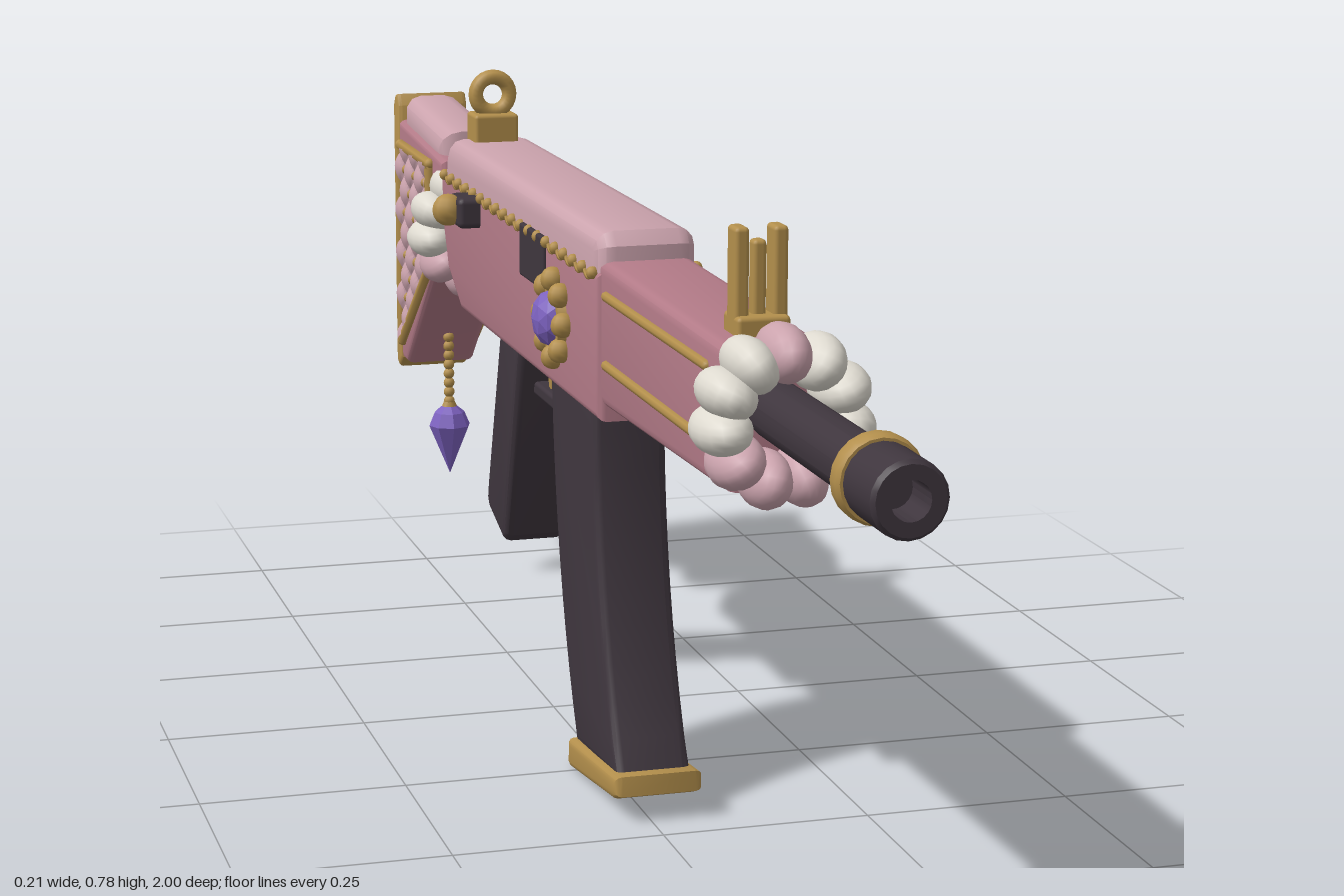
import * as THREE from 'three';
import { toCreasedNormals } from 'three/addons/utils/BufferGeometryUtils.js';
import { RoundedBoxGeometry } from 'three/addons/geometries/RoundedBoxGeometry.js';

const mat = (name, color) => {
  const m = new THREE.MeshStandardMaterial({ color });
  m.name = name;
  return m;
};

export function createModel() {
  const root = new THREE.Group();
  root.name = 'jewelledRifle';
  const body = new THREE.Group();
  body.name = 'body';
  body.position.x = 0.01;
  root.add(body);

  const rose = mat('dustyRose', 0xb27a87);
  const blush = mat('paleBlush', 0xcba3ad);
  const cream = mat('cream', 0xdedad0);
  const dark = mat('charcoalPlum', 0x3f363e);
  const gold = mat('oldGold', 0xb38f4c);
  const violet = mat('violet', 0x7d62c0);
  violet.flatShading = true;

  const add = (name, geo, material, x = 0, y = 0, z = 0) => {
    const m = new THREE.Mesh(geo, material);
    m.name = name;
    m.position.set(x, y, z);
    body.add(m);
    return m;
  };
  const V = (x, y, z) => new THREE.Vector3(x, y, z);
  const box = (name, material, w, h, d, x, y, z, r = 0.005) =>
    add(name, new RoundedBoxGeometry(w, h, d, 2, r), material, x, y, z);
  const ball = (name, material, r, x, y, z) =>
    add(name, new THREE.SphereGeometry(r, 10, 8), material, x, y, z);

  // Side profile in (z, y), extruded across x with rounded edges
  const slab = (name, profile, width, bevel, material) => {
    const shape = Array.isArray(profile)
      ? new THREE.Shape(profile.map(([z, y]) => new THREE.Vector2(z, y))) : profile;
    const depth = width - 2 * bevel;
    const geo = new THREE.ExtrudeGeometry(shape, {
      depth, bevelSize: bevel, bevelThickness: bevel, bevelOffset: -bevel,
      bevelSegments: 3, curveSegments: 10,
    });
    geo.translate(0, 0, -depth / 2);
    geo.rotateY(-Math.PI / 2);
    return add(name, toCreasedNormals(geo, 0.6), material);
  };
  // Turned part along z from (radius, z) points
  const turned = (name, pts, material, y, sides = 20) => {
    const geo = new THREE.LatheGeometry(pts.map(([r, z]) => new THREE.Vector2(r, z)), sides);
    geo.rotateX(Math.PI / 2);
    return add(name, toCreasedNormals(geo, 0.6), material, 0, y, 0);
  };

  // Barrel, hollow muzzle and gold band
  turned('barrel', [[0, 0.5], [0.031, 0.5], [0.031, 0.9], [0.039, 0.905], [0.039, 0.995],
    [0.035, 1], [0.02, 1], [0.02, 0.95], [0, 0.95]], dark, 0.585);
  turned('muzzleBand', [[0.03, 0.897], [0.042, 0.897], [0.045, 0.903], [0.045, 0.917],
    [0.042, 0.923], [0.03, 0.923]], gold, 0.585);

  // Handguard with raised gold stripes
  slab('handguard', [[0.61, 0.5], [0.61, 0.652], [0.13, 0.658], [0.13, 0.488]], 0.112, 0.014, rose);
  for (const s of [-1, 1]) for (const y of [0.622, 0.542]) {
    const geo = new THREE.CapsuleGeometry(0.006, 0.385, 4, 8);
    geo.rotateX(Math.PI / 2);
    add('handguardStripe', geo, gold, s * 0.056, y, 0.36);
  }

  // Receiver and its pale top cover
  slab('receiver', [[0.15, 0.472], [0.15, 0.645], [-0.65, 0.645], [-0.645, 0.575],
    [-0.615, 0.515], [-0.54, 0.472]], 0.122, 0.01, rose);
  slab('receiverCover', [[0.148, 0.58], [0.148, 0.675], [0.134, 0.691], [-0.612, 0.691],
    [-0.632, 0.67], [-0.652, 0.58]], 0.12, 0.022, blush);

  // Beaded scalloped trim on both sides
  const scallops = 18, step = 0.75 / scallops;
  for (const s of [-1, 1]) {
    const pts = [];
    for (let i = 0; i <= scallops * 4; i++) {
      pts.push(V(s * 0.061, 0.644 - 0.01 * Math.abs(Math.sin(i * Math.PI / 4)), 0.13 - i * step / 4));
    }
    add('trimCord', new THREE.TubeGeometry(new THREE.CatmullRomCurve3(pts), 110, 0.003, 5), gold);
    for (let i = 0; i <= scallops; i++) {
      ball('trimBead', gold, 0.0075, s * 0.062, 0.643, 0.13 - i * step);
    }
  }

  // Flower brooch on both sides
  for (const s of [-1, 1]) {
    const disc = new THREE.CylinderGeometry(0.042, 0.046, 0.012, 20);
    disc.rotateZ(-s * Math.PI / 2);
    add('broochBase', disc, gold, s * 0.065, 0.56, -0.03);
    for (let i = 0; i < 8; i++) {
      const a = i * Math.PI / 4 + Math.PI / 8 * 4;
      ball('broochPetal', gold, 0.015, s * 0.067, 0.56 + 0.047 * Math.sin(a), -0.03 + 0.047 * Math.cos(a));
    }
    add('broochGem', new THREE.IcosahedronGeometry(0.034, 1), violet, s * 0.07, 0.56, -0.03)
      .scale.set(0.65, 1, 1);
  }

  // Ejection port and charging handle on the right side
  box('ejectionPort', dark, 0.012, 0.066, 0.115, -0.06, 0.615, -0.14, 0.004);
  box('handleSlide', dark, 0.04, 0.04, 0.06, -0.07, 0.622, -0.45, 0.008);
  ball('handleKnob', gold, 0.021, -0.097, 0.624, -0.45);

  // Front sight: base, two prongs and a post
  box('frontSightBase', gold, 0.058, 0.026, 0.05, 0, 0.66, 0.545);
  for (const s of [-1, 1]) box('frontSightProng', gold, 0.016, 0.105, 0.03, s * 0.021, 0.712, 0.545);
  box('frontSightPost', gold, 0.015, 0.09, 0.018, 0, 0.705, 0.545);

  // Rear sight: block and ring
  box('rearSightBase', gold, 0.06, 0.045, 0.05, 0, 0.705, -0.6);
  add('rearSightRing', new THREE.TorusGeometry(0.023, 0.01, 8, 24), gold, 0, 0.752, -0.6)
    .scale.z = 1.4;

  // Curved magazine with gold foot
  const mag = new THREE.Shape();
  mag.moveTo(0.07, 0.49);
  mag.quadraticCurveTo(0.07, 0.25, 0.178, 0.05);
  mag.lineTo(-0.01, 0.035);
  mag.quadraticCurveTo(-0.115, 0.23, -0.13, 0.49);
  slab('magazine', mag, 0.09, 0.01, dark);
  slab('magazineFoot', [[0.2, 0.034], [0.198, 0.058], [-0.02, 0.037], [-0.022, 0.005],
    [-0.01, 0.002], [0.18, 0.026]], 0.106, 0.008, gold);

  // Trigger, guard and grip
  box('triggerGuard', dark, 0.035, 0.018, 0.14, 0, 0.411, -0.26);
  box('triggerGuardFront', dark, 0.035, 0.08, 0.018, 0, 0.44, -0.198);
  slab('trigger', [[-0.258, 0.48], [-0.278, 0.48], [-0.275, 0.42], [-0.262, 0.418]], 0.018, 0.003, gold);
  slab('grip', [[-0.29, 0.49], [-0.378, 0.2], [-0.39, 0.19], [-0.47, 0.215], [-0.48, 0.23],
    [-0.475, 0.25], [-0.395, 0.49]], 0.085, 0.012, dark);

  // Puffy wreaths round the barrel and the stock neck
  const wreath = (y, z) => {
    const n = 11;
    for (let i = 0; i < n; i++) {
      const a = Math.PI / 2 + i * 2 * Math.PI / n;
      const pink = i === 0 || (i > 3 && i < 8);
      const puff = add('wreathPuff', new THREE.SphereGeometry(1, 16, 12), pink ? blush : cream,
        0.066 * Math.cos(a), y + 0.066 * Math.sin(a), z);
      puff.scale.set(0.031, 0.026, 0.053);
      puff.rotation.z = a;
    }
  };
  wreath(0.582, 0.63);
  wreath(0.553, -0.7);
  turned('stockNeck', [[0, -0.78], [0.045, -0.78], [0.045, -0.6], [0, -0.6]], rose, 0.575);

  // Stock, cheek roll and butt plate
  slab('stock', [[-0.69, 0.65], [-0.97, 0.67], [-0.97, 0.318], [-0.935, 0.318],
    [-0.74, 0.495], [-0.69, 0.52]], 0.1, 0.01, rose);
  slab('cheekRoll', [[-0.715, 0.628], [-0.715, 0.686], [-0.97, 0.703], [-0.97, 0.635]], 0.086, 0.026, blush);
  slab('buttPlate', [[-0.966, 0.32], [-0.966, 0.69], [-0.976, 0.706], [-0.99, 0.704], [-1, 0.69],
    [-1, 0.31], [-0.985, 0.303]], 0.102, 0.006, gold);

  // Quilted stock panels with gold rim and studs
  const z0 = -0.755, z1 = -0.946, top = 0.637;
  const low = (z) => 0.495 + (z - z0) / (z1 - z0) * -0.145;
  const cell = 0.062;
  const quilt = (z, y) => [(z - z0) / cell + (y - top) / cell, (z - z0) / cell - (y - top) / cell];
  for (const s of [-1, 1]) {
    const geo = new THREE.PlaneGeometry(1, 1, 40, 48);
    const p = geo.attributes.position;
    for (let i = 0; i < p.count; i++) {
      const u = 0.5 + s * p.getX(i), v = p.getY(i) + 0.5;
      const z = z0 + (z1 - z0) * u, y = low(z) + (top - low(z)) * v;
      const [a, b] = quilt(z, y);
      const puff = Math.sqrt(Math.abs(Math.sin(a * Math.PI) * Math.sin(b * Math.PI)));
      p.setXYZ(i, s * (0.049 + 0.013 * puff), y, z);
    }
    geo.computeVertexNormals();
    add('quiltedPanel', geo, blush);

    const rim = new THREE.CurvePath();
    const c = [[z0, top], [z1, top], [z1, low(z1)], [z0, low(z0)]].map(([z, y]) => V(s * 0.053, y, z));
    c.forEach((q, i) => {
      rim.add(new THREE.LineCurve3(q, c[(i + 1) % 4]));
      ball('rimCorner', gold, 0.0075, q.x, q.y, q.z);
    });
    add('panelRim', new THREE.TubeGeometry(rim, 120, 0.0075, 6, true), gold);

    for (let a = -8; a <= 8; a++) for (let b = -8; b <= 8; b++) {
      const z = z0 + (a + b) * cell / 2, y = top + (a - b) * cell / 2;
      if (z < z0 - 0.01 && z > z1 + 0.01 && y < top - 0.01 && y > low(z) + 0.01) {
        ball('quiltStud', gold, 0.007, s * 0.052, y, z);
      }
    }
  }

  // Hanging charm: bead chain and faceted drop
  for (let i = 0; i < 8; i++) ball('charmBead', gold, 0.008, 0, 0.365 - i * 0.0135, -0.88);
  add('charmCap', new THREE.CylinderGeometry(0.008, 0.014, 0.014, 8), gold, 0, 0.263, -0.88);
  add('charmGem', new THREE.LatheGeometry([[0, 0.163], [0.03, 0.235], [0.022, 0.254], [0.011, 0.263], [0, 0.265]]
    .map(([r, y]) => new THREE.Vector2(r, y)), 8), violet, 0, 0, -0.88);

  return root;
}
